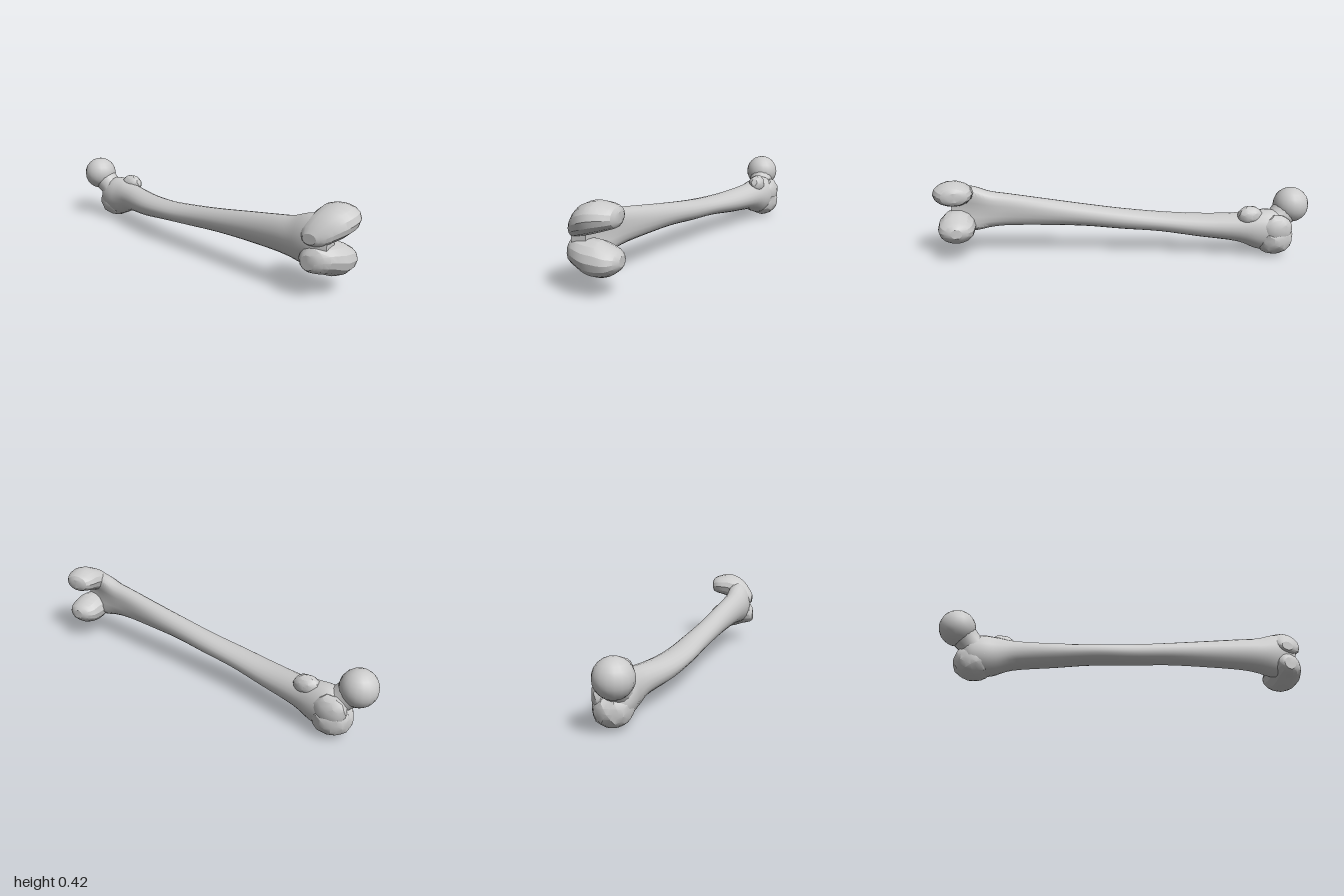
import * as THREE from 'three';
import { toCreasedNormals, mergeVertices } from 'three/addons/utils/BufferGeometryUtils.js';

const material = new THREE.MeshStandardMaterial({ color: 0xcccccc });

function addPart(group, name, geometry) {
  const mesh = new THREE.Mesh(geometry, material);
  mesh.name = name;
  group.add(mesh);
  return mesh;
}

// Smooth interpolation through rows of numbers, steps rows per span.
function smoothRows(rows, steps) {
  const out = [];
  const row = i => rows[THREE.MathUtils.clamp(i, 0, rows.length - 1)];
  for (let i = 0; i < rows.length - 1; i++) {
    for (let s = 0; s < steps; s++) {
      const t = s / steps;
      out.push(row(i).map((p1, k) => {
        const p0 = row(i - 1)[k], p2 = row(i + 1)[k], p3 = row(i + 2)[k];
        return p1 + 0.5 * t * (p2 - p0 + t * (2 * p0 - 5 * p1 + 4 * p2 - p3 + t * (3 * (p1 - p2) + p3 - p0)));
      }));
    }
  }
  out.push(rows[rows.length - 1]);
  return out;
}

// Closed loft of ellipses. Row: [position, centreA, centreB, radiusA, radiusB, dent].
// Along 'x' A,B are y,z; along 'z' A,B are x,y. Dent hollows the -B side.
function loft(axis, rows, sides, steps, crease) {
  const rings = smoothRows(rows, steps);
  const pos = [], index = [];
  const put = (t, a, b) => (axis === 'x' ? pos.push(t, a, b) : pos.push(a, b, t));
  for (const [t, ca, cb, ra, rb, dent = 0] of rings) {
    for (let i = 0; i < sides; i++) {
      const angle = (i / sides) * Math.PI * 2;
      const c = Math.cos(angle), s = Math.sin(angle);
      put(t, ca + c * ra, cb + s * rb + dent * Math.max(0, -s) ** 4);
    }
  }
  for (let j = 0; j < rings.length - 1; j++) {
    for (let i = 0; i < sides; i++) {
      const n = (i + 1) % sides;
      const a = j * sides + i, b = j * sides + n, c = b + sides, d = a + sides;
      index.push(a, b, c, a, c, d);
    }
  }
  // end caps
  const last = (rings.length - 1) * sides, start = rings.length * sides;
  for (const r of [rings[0], rings[rings.length - 1]]) put(r[0], r[1], r[2]);
  for (let i = 0; i < sides; i++) {
    const n = (i + 1) % sides;
    index.push(start, n, i, start + 1, last + i, last + n);
  }
  const g = new THREE.BufferGeometry();
  g.setAttribute('position', new THREE.Float32BufferAttribute(pos, 3));
  g.setIndex(index);
  return toCreasedNormals(g, crease);
}

// Slightly lumpy faceted ellipsoid.
function lump(center, radii, detail, rough) {
  let g = new THREE.IcosahedronGeometry(1, detail);
  g.deleteAttribute('normal');
  g.deleteAttribute('uv');
  g = mergeVertices(g, 1e-3);
  const p = g.attributes.position, v = new THREE.Vector3();
  for (let i = 0; i < p.count; i++) {
    v.fromBufferAttribute(p, i);
    v.multiplyScalar(1 + rough * Math.sin(v.x * 7 + 1) * Math.sin(v.y * 6 + 2) * Math.cos(v.z * 8));
    p.setXYZ(i, v.x * radii[0], v.y * radii[1], v.z * radii[2]);
  }
  g.translate(...center);
  return toCreasedNormals(g, 0.45);
}

export function createModel() {
  const bone = new THREE.Group();
  bone.name = 'thighBone';

  // bowed shaft, flaring at both ends and hollowed behind the knee end
  addPart(bone, 'shaft', loft('x', [
    [-0.87, 0.12, -0.165, 0.05, 0.05, 0],
    [-0.84, 0.13, -0.163, 0.09, 0.08, 0],
    [-0.78, 0.135, -0.16, 0.112, 0.092, 0],
    [-0.7, 0.138, -0.15, 0.106, 0.087, 0],
    [-0.6, 0.148, -0.123, 0.078, 0.082, 0],
    [-0.4, 0.152, -0.056, 0.062, 0.084, 0],
    [-0.2, 0.167, -0.002, 0.053, 0.078, 0],
    [0, 0.184, 0.035, 0.056, 0.07, 0],
    [0.2, 0.205, 0.075, 0.061, 0.065, 0],
    [0.4, 0.223, 0.11, 0.073, 0.066, 0.005],
    [0.6, 0.238, 0.146, 0.088, 0.07, 0.015],
    [0.7, 0.242, 0.16, 0.1, 0.076, 0.025],
    [0.78, 0.248, 0.168, 0.122, 0.082, 0.04],
    [0.85, 0.252, 0.175, 0.125, 0.075, 0.045],
    [0.91, 0.25, 0.178, 0.09, 0.05, 0.03],
  ], 20, 4, 0.6));

  // ball of the hip
  const ball = new THREE.SphereGeometry(0.095, 18, 12);
  addPart(bone, 'hipBall', ball).position.set(-0.905, 0.261, -0.135);

  // waisted neck running from the ball down into the shaft
  const from = new THREE.Vector3(-0.905, 0.261, -0.135);
  const to = new THREE.Vector3(-0.765, 0.125, -0.16);
  const along = to.clone().sub(from), len = along.length();
  const profile = [[0.075, 0], [0.07, 0.3], [0.067, 0.5], [0.075, 0.7], [0.092, 1]]
    .map(([r, t]) => new THREE.Vector2(r, t * len));
  const neck = addPart(bone, 'neck', new THREE.LatheGeometry(profile, 16));
  neck.position.copy(from);
  neck.quaternion.setFromUnitVectors(new THREE.Vector3(0, 1, 0), along.normalize());

  // bony knobs beside the hip
  addPart(bone, 'largeKnob', lump([-0.8, 0.094, -0.172], [0.105, 0.094, 0.095], 3, 0.06));
  addPart(bone, 'knobRidge', lump([-0.8, 0.15, -0.215], [0.085, 0.08, 0.05], 2, 0.06));
  addPart(bone, 'smallKnob', lump([-0.66, 0.222, -0.168], [0.068, 0.052, 0.046], 2, 0.06));

  // two knuckles of the knee, with the notch between them
  addPart(bone, 'upperKnuckle', loft('z', [
    [0.002, 0.885, 0.355, 0.03, 0.025],
    [0.015, 0.885, 0.355, 0.07, 0.045],
    [0.05, 0.888, 0.356, 0.094, 0.058],
    [0.1, 0.895, 0.353, 0.104, 0.07],
    [0.15, 0.89, 0.34, 0.102, 0.072],
    [0.2, 0.872, 0.319, 0.088, 0.066],
    [0.24, 0.85, 0.292, 0.065, 0.05],
    [0.262, 0.84, 0.28, 0.035, 0.025],
  ], 14, 2, 0.4));
  addPart(bone, 'lowerKnuckle', loft('z', [
    [-0.002, 0.885, 0.16, 0.03, 0.025],
    [0.015, 0.885, 0.16, 0.065, 0.045],
    [0.05, 0.885, 0.158, 0.09, 0.066],
    [0.1, 0.885, 0.163, 0.097, 0.082],
    [0.15, 0.88, 0.168, 0.098, 0.08],
    [0.2, 0.868, 0.178, 0.088, 0.071],
    [0.25, 0.85, 0.18, 0.065, 0.058],
    [0.27, 0.84, 0.172, 0.035, 0.035],
  ], 14, 2, 0.4));

  return bone;
}
